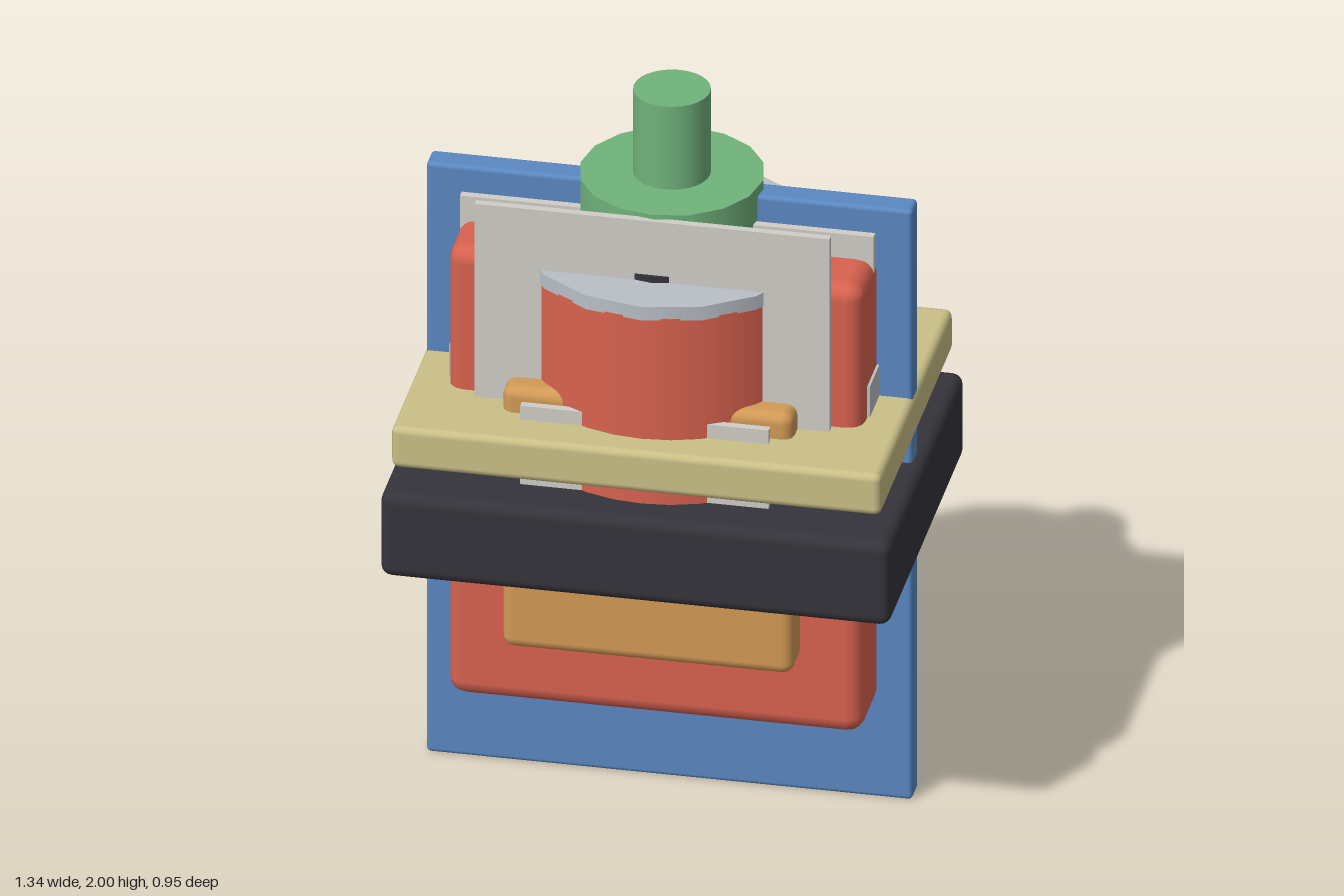
import * as THREE from 'three';
import { RoundedBoxGeometry } from 'three/addons/geometries/RoundedBoxGeometry.js';

const material = (name, color) => {
  const m = new THREE.MeshStandardMaterial({ color });
  m.name = name;
  return m;
};

export function createModel() {
  const blue = material('blue', 0x5a88c2);
  const red = material('red', 0xd8624f);
  const orange = material('orange', 0xd29a56);
  const dark = material('charcoal', 0x35343b);
  const tan = material('tan', 0xcabf86);
  const pale = material('pale grey', 0xcfcdc7);
  const steel = material('steel', 0xb9bfc6);
  const green = material('green', 0x70b27b);

  const group = new THREE.Group();
  const add = (name, geometry, mat, y, z = 0) => {
    const mesh = new THREE.Mesh(geometry, mat);
    mesh.name = name;
    mesh.position.set(0, y, z);
    group.add(mesh);
  };
  // Bevelled block, centred on the axis, from y0 to y1
  const block = (name, w, y0, y1, d, bevel, mat) =>
    add(name, new RoundedBoxGeometry(w, y1 - y0, d, 2, bevel), mat, (y0 + y1) / 2);
  // Sharp-edged plate between z0 and z1
  const plate = (name, w, y0, y1, z0, z1, mat) =>
    add(name, new THREE.BoxGeometry(w, y1 - y0, z1 - z0), mat, (y0 + y1) / 2, (z0 + z1) / 2);
  // Upright cylinder from y0 to y1
  const drum = (name, r, y0, y1, sides, mat) =>
    add(name, new THREE.CylinderGeometry(r, r, y1 - y0, sides), mat, (y0 + y1) / 2);

  // Nested body blocks
  block('centralPanel', 1.276, 0, 1.73, 0.074, 0.012, blue);
  block('mainBody', 1.09, 0.275, 1.59, 0.446, 0.045, red);
  block('innerBlock', 0.764, 0.485, 1.25, 0.636, 0.03, orange);

  // Horizontal collars
  block('lowerCollar', 1.34, 0.745, 0.99, 0.954, 0.03, dark);
  block('upperCollar', 1.286, 1.06, 1.18, 0.92, 0.02, tan);

  // Drum, its lid and the seal above
  drum('drum', 0.387, 0.85, 1.535, 32, red);
  drum('drumLid', 0.392, 1.53, 1.57, 16, steel);
  drum('seal', 0.262, 1.56, 1.588, 16, dark);

  // Cap and stem
  drum('cap', 0.24, 1.57, 1.757, 16, green);
  drum('stem', 0.1, 1.75, 2, 28, green);

  // Thin plates
  plate('frontPlate', 0.932, 0.85, 1.745, 0.232, 0.253, pale);
  plate('middlePlate', 1.086, 0.85, 1.66, 0.045, 0.067, pale);
  plate('lowerFrontPlate', 0.652, 0.7, 1.22, 0.328, 0.349, pale);

  // Bar showing at both sides of the body
  plate('crossBar', 1.104, 0.9, 1.27, -0.158, 0.158, steel);

  return group;
}
